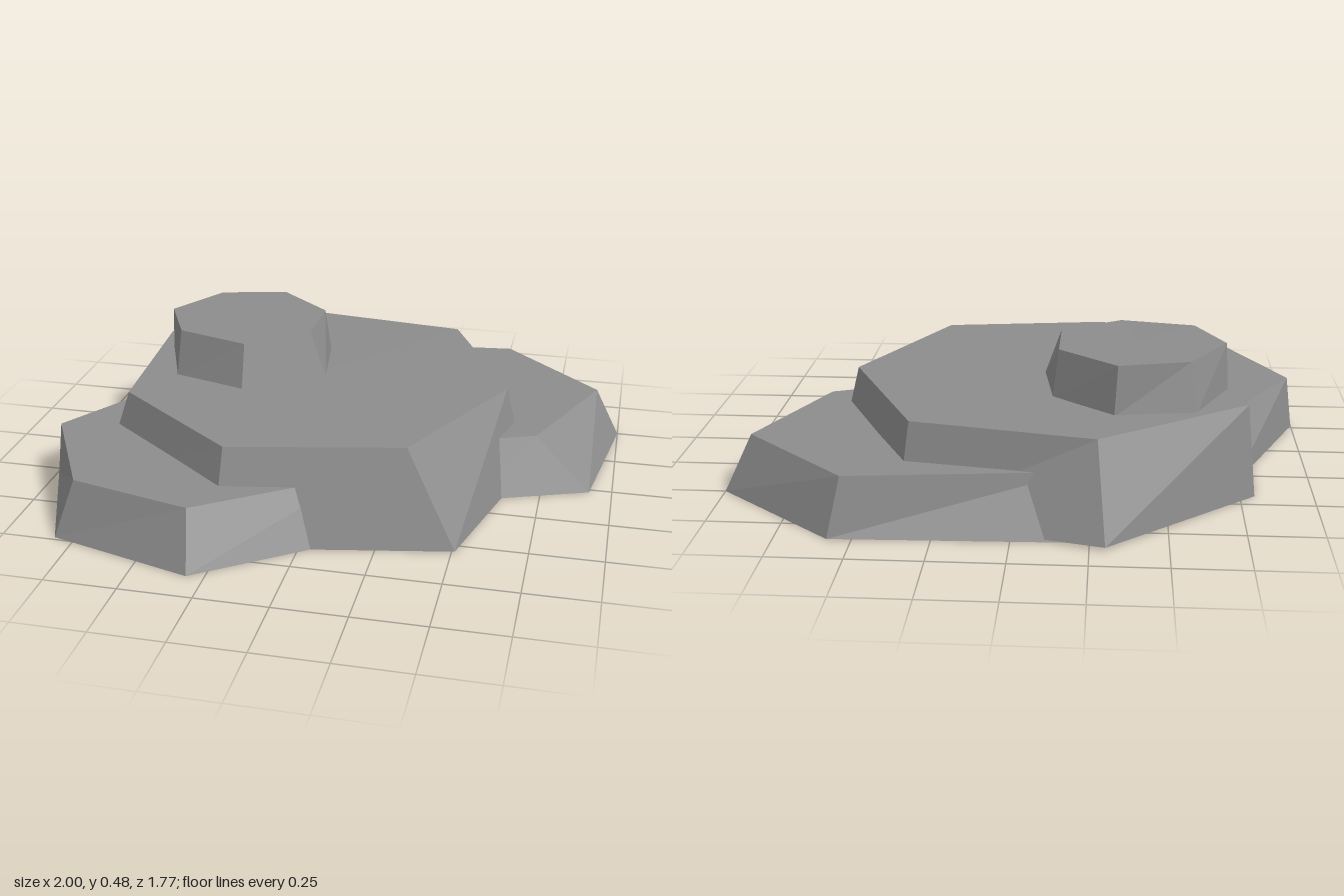
import * as THREE from 'three';

// Faceted slab between two matching loops of [x, z], listed clockwise from above;
// an optional third value overrides a corner's height.
function slab(name, material, yBottom, yTop, bottom, top) {
  const lift = (loop, y) => loop.map(([x, z, h = y]) => new THREE.Vector3(x, h, z));
  const b = lift(bottom, yBottom), t = lift(top, yTop), n = t.length;
  const middle = (loop) => loop.reduce((s, p) => s.add(p), new THREE.Vector3()).divideScalar(n);
  const tc = middle(t), bc = middle(b), points = [];
  for (let i = 0; i < n; i++) {
    const j = (i + 1) % n;
    points.push(tc, t[j], t[i]); // top
    points.push(bc, b[i], b[j]); // underside
    points.push(b[j], b[i], t[i], b[j], t[i], t[j]); // wall
  }
  const geometry = new THREE.BufferGeometry().setFromPoints(points);
  geometry.computeVertexNormals(); // unshared corners keep the facets flat
  const mesh = new THREE.Mesh(geometry, material);
  mesh.name = name;
  return mesh;
}

export function createModel() {
  const group = new THREE.Group();
  group.name = 'layeredRock';
  const stone = new THREE.MeshStandardMaterial({ color: 0x8c8c8c });
  stone.name = 'grey stone';

  // Large central slab
  group.add(slab('mainSlab', stone, 0, 0.32,
    [[-0.3, -0.89, 0.01], [0.38, -0.7], [0.68, -0.1], [0.51, 0.54], [-0.28, 0.69], [-0.83, 0.25], [-0.8, -0.43]],
    [[-0.27, -0.75, 0.315], [0.34, -0.65, 0.325], [0.6, -0.1, 0.325], [0.33, 0.46, 0.325], [-0.27, 0.57, 0.318],
      [-0.73, 0.21, 0.318], [-0.77, -0.4, 0.318]]));

  // Low slab at the front, toward -x
  group.add(slab('frontLedge', stone, 0, 0.195,
    [[-0.74, -0.33], [0.2, 0.515], [-0.31, 0.88], [-0.82, 0.735], [-1, 0.27]],
    [[-0.66, -0.24], [0.15, 0.45], [-0.33, 0.785], [-0.76, 0.68], [-0.975, 0.27]]));

  // Low slab at the back, toward +x
  group.add(slab('backLedge', stone, 0, 0.195,
    [[-0.2, -0.838], [0.58, -0.86], [1, -0.5], [0.92, 0.02], [0.5, 0.175]],
    [[-0.2, -0.73], [0.54, -0.81], [0.91, -0.46], [0.72, 0], [0.5, 0.085]]));

  // Small stone on top
  group.add(slab('topStone', stone, 0.31, 0.48,
    [[-0.59, -0.49], [-0.32, -0.53], [-0.11, -0.36], [-0.07, -0.09], [-0.34, 0.1], [-0.61, 0.02], [-0.71, -0.24]],
    [[-0.57, -0.45], [-0.33, -0.51], [-0.13, -0.34], [-0.13, -0.1], [-0.34, 0.05, 0.475], [-0.6, -0.02], [-0.7, -0.23]]));

  return group;
}
